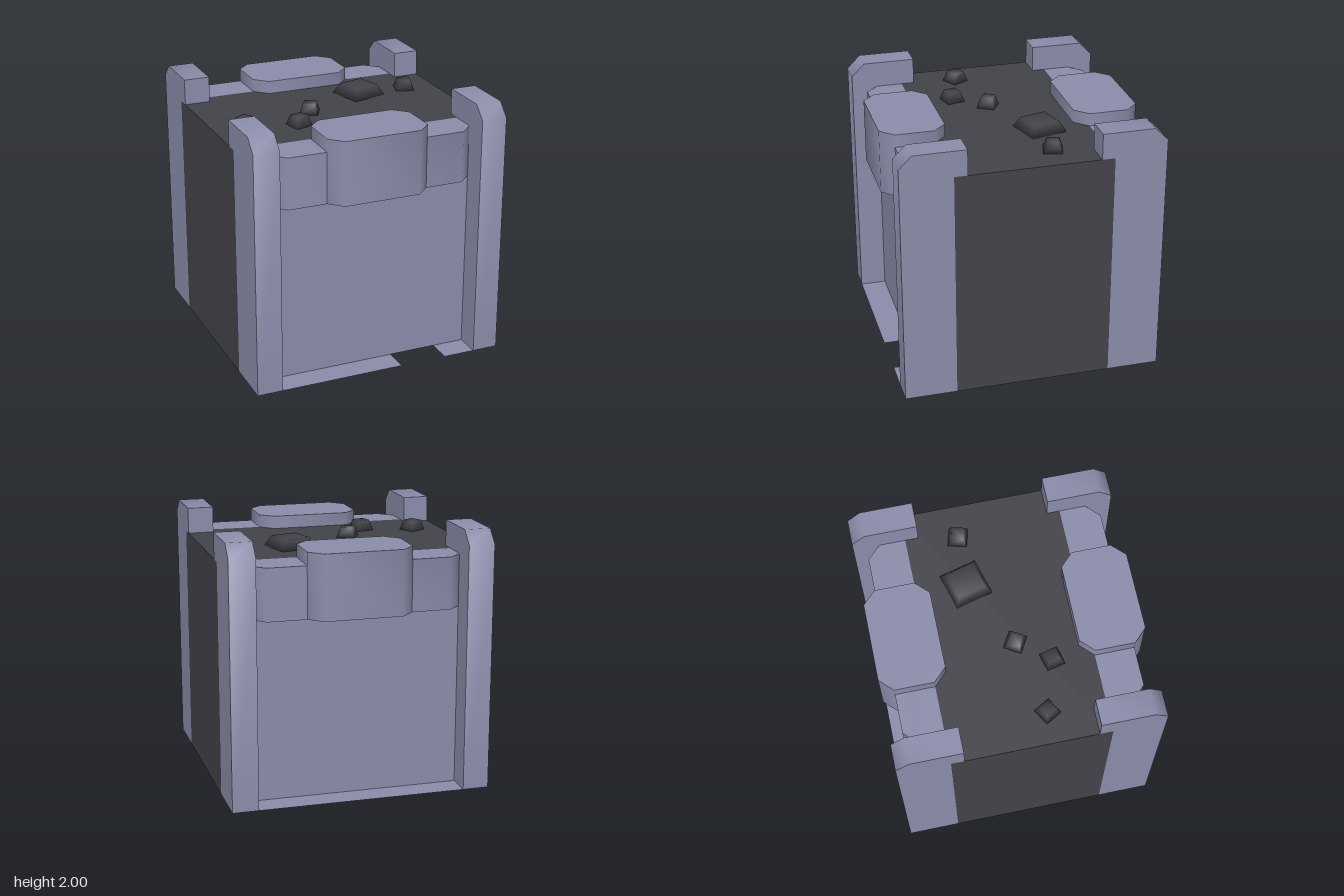
import * as THREE from 'three';
import { mergeVertices, toCreasedNormals } from 'three/addons/utils/BufferGeometryUtils.js';

const stone = new THREE.MeshStandardMaterial({ color: 0x8a8ca9, side: THREE.DoubleSide });
stone.name = 'pale stone';
const earth = new THREE.MeshStandardMaterial({ color: 0x424249, side: THREE.DoubleSide });
earth.name = 'dark earth';

function add(parent, name, geometry, material, x = 0, y = 0, z = 0) {
  const mesh = new THREE.Mesh(geometry, material);
  mesh.name = name;
  mesh.position.set(x, y, z);
  parent.add(mesh);
  return mesh;
}

const shapeOf = (points) => new THREE.Shape(points.map(([a, b]) => new THREE.Vector2(a, b)));

// Flat panel in the z-y plane at a given x, facing the sign of "facing"
function sidePanel(points, x, facing) {
  const g = new THREE.ShapeGeometry(shapeOf(points.map(([z, y]) => [-z * facing, y])));
  return g.rotateY(facing * Math.PI / 2).translate(x, 0, 0);
}

// Band swept in x from x0 to x1 along a z-y profile, softened at shallow bends
function band(profile, x0, x1) {
  const pos = [], index = [];
  profile.forEach(([z, y], i) => {
    pos.push(x0, y, z, x1, y, z);
    const k = i * 2;
    if (i) index.push(k - 2, k - 1, k + 1, k - 2, k + 1, k);
  });
  const g = new THREE.BufferGeometry();
  g.setAttribute('position', new THREE.Float32BufferAttribute(pos, 3));
  g.setIndex(index);
  return toCreasedNormals(g, 0.9);
}

// Plan outline (x, z) raised from y0 to y1
function raised(outline, y0, y1) {
  const g = new THREE.ExtrudeGeometry(shapeOf(outline.map(([x, z]) => [x, -z])), { depth: y1 - y0, bevelEnabled: false });
  return toCreasedNormals(g.rotateX(-Math.PI / 2).translate(0, y0, 0), 0.9);
}

// Horizontal sheet facing up
const sheet = (w, d) => new THREE.PlaneGeometry(w, d).rotateX(-Math.PI / 2);

// Tapered pebble with soft normals
function pebble(size, top, height) {
  const g = new THREE.BoxGeometry(size, height, size).translate(0, height / 2, 0);
  const p = g.attributes.position;
  for (let i = 0; i < p.count; i++) {
    if (p.getY(i) > height / 2) p.setXYZ(i, p.getX(i) * top / size, height, p.getZ(i) * top / size);
  }
  g.deleteAttribute('normal');
  g.deleteAttribute('uv');
  const merged = mergeVertices(g);
  merged.computeVertexNormals();
  return merged;
}

// Corner post: outer face, inner face and the chamfered strip between them
function cornerPost(left) {
  const post = new THREE.Group();
  const profile = [[1, 0], [1, 1.9], [0.9, 2], [0.5, 2], [0.5, 1.8]];
  const outer = [...profile, [0.6, 1.8], [0.6, 0]];
  const inner = [...profile, [0.8, 1.8], [0.8, 0]];
  const s = left ? 1 : -1;
  add(post, 'postOuterFace', sidePanel(outer, s, s), stone);
  add(post, 'postInnerFace', sidePanel(inner, s * 0.8, -s), stone);
  add(post, 'postEdge', band(profile, left ? 0.8 : -1, left ? 1 : -0.8), stone);
  return post;
}

// One wall side with posts, panel and parapet, facing +z
function wallSide(name) {
  const side = new THREE.Group();
  side.name = name;
  for (const left of [true, false]) {
    const post = cornerPost(left);
    post.name = left ? 'leftPost' : 'rightPost';
    side.add(post);
  }
  add(side, 'wallPanel', new THREE.PlaneGeometry(1.6, 1.4), stone, 0, 0.7, 0.8);
  const low = [[-0.8, 0.6], [-0.8, 0.8], [-0.7, 0.9], [0.7, 0.9], [0.8, 0.8], [0.8, 0.6]];
  const high = [[-0.4, 0.6], [-0.4, 0.9], [-0.3, 1], [0.3, 1], [0.4, 0.9], [0.4, 0.6], [0.3, 0.5], [-0.3, 0.5]];
  add(side, 'lowParapet', raised(low, 1.4, 1.8), stone);
  add(side, 'middleMerlon', raised(high, 1.4, 1.9), stone);
  return side;
}

export function createModel() {
  const model = new THREE.Group();
  model.name = 'wallBlock';

  // Dark core: top and the two sides, open underneath
  add(model, 'earthTop', sheet(2, 1.2), earth, 0, 1.8, 0);
  for (const s of [1, -1]) {
    add(model, s > 0 ? 'leftEarthFace' : 'rightEarthFace',
      new THREE.PlaneGeometry(1.2, 1.8).rotateY(s * Math.PI / 2), earth, s, 0.9, 0);
  }

  // Front and back walls
  const back = wallSide('backWall');
  back.rotation.y = Math.PI;
  model.add(wallSide('frontWall'), back);

  // Ground ledges; the front one has a gap
  add(model, 'backLedge', sheet(1.6, 0.2), stone, 0, 0, -0.9);
  for (const [x0, x1] of [[-0.8, 0.18], [0.55, 0.8]]) {
    add(model, 'frontLedge', sheet(x1 - x0, 0.2), stone, (x0 + x1) / 2, 0, 0.9);
  }

  // Pebbles on top: x, z, size, top size, turn in degrees
  const pebbles = [
    [0.35, -0.22, 0.295, 0.21, 15], [0.74, -0.205, 0.145, 0.095, -15],
    [-0.18, 0.045, 0.14, 0.095, -30], [-0.755, 0.165, 0.14, 0.095, 30],
    [-0.363, 0.285, 0.145, 0.095, 14],
  ];
  for (const [x, z, size, top, turn] of pebbles) {
    add(model, 'pebble', pebble(size, top, 0.08), earth, x, 1.8, z).rotation.y = THREE.MathUtils.degToRad(turn);
  }
  return model;
}
